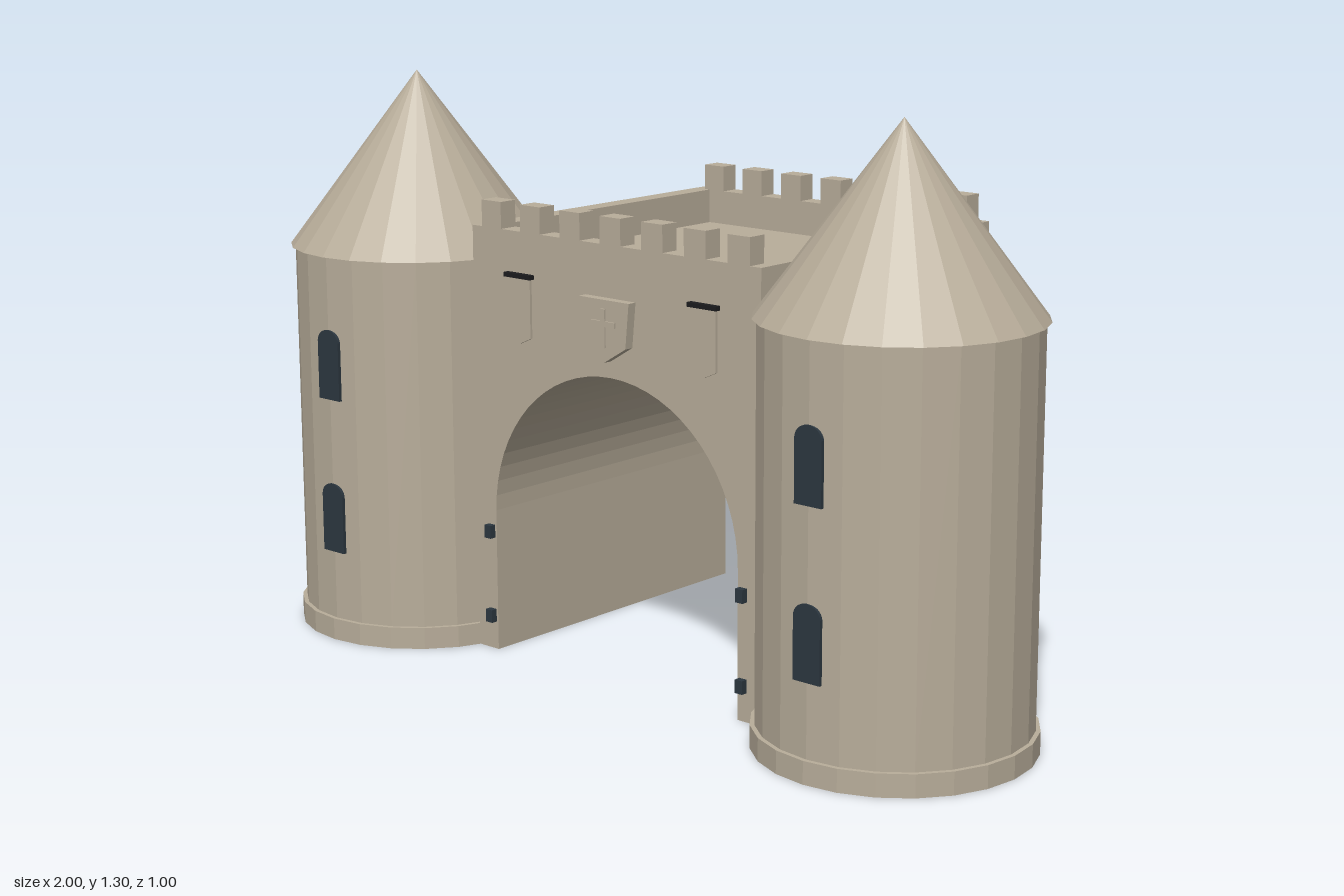
import * as THREE from 'three';

const material = (name, color) => {
  const m = new THREE.MeshStandardMaterial({ color, flatShading: true });
  m.name = name;
  return m;
};

export function createModel() {
  const stone = material('stone', 0xb8ad9a);
  const glass = material('darkWindow', 0x2c3740);
  const iron = material('iron', 0x1c1c1e);
  const root = new THREE.Group();
  root.name = 'castleGate';

  const add = (parent, name, geometry, mat, x = 0, y = 0, z = 0) => {
    const mesh = new THREE.Mesh(geometry, mat);
    mesh.name = name;
    mesh.position.set(x, y, z);
    parent.add(mesh);
    return mesh;
  };
  const box = (w, h, d) => new THREE.BoxGeometry(w, h, d);
  const plate = (shape, depth, curveSegments = 8) =>
    new THREE.ExtrudeGeometry(shape, { depth, bevelEnabled: false, curveSegments });

  // Gatehouse block with an arched passage
  const wall = new THREE.Shape();
  wall.moveTo(-0.42, 0);
  wall.lineTo(-0.36, 0);
  wall.lineTo(-0.36, 0.33);
  wall.absarc(0, 0.33, 0.36, Math.PI, 0, true);
  wall.lineTo(0.36, 0);
  wall.lineTo(0.42, 0);
  wall.lineTo(0.42, 0.9);
  wall.lineTo(-0.42, 0.9);
  wall.closePath();
  add(root, 'gatehouse', plate(wall, 0.8, 16), stone, 0, 0, -0.5);

  // Parapet around the roof, with merlons at front and back
  for (const z of [-0.4775, 0.2775]) {
    add(root, 'parapetEnd', box(0.84, 0.08, 0.045), stone, 0, 0.94, z);
    for (let i = -3; i <= 3; i++) {
      add(root, 'merlon', box(0.06, 0.06, 0.045), stone, i * 0.12, 1.01, z);
    }
  }
  for (const s of [-1, 1]) {
    add(root, 'parapetSide', box(0.045, 0.08, 0.71), stone, s * 0.3975, 0.94, -0.1);
  }

  // Round-topped tower window
  const arch = new THREE.Shape();
  arch.moveTo(-0.034, 0);
  arch.lineTo(0.034, 0);
  arch.lineTo(0.034, 0.135);
  arch.quadraticCurveTo(0.03, 0.16, 0, 0.162);
  arch.quadraticCurveTo(-0.03, 0.16, -0.034, 0.135);
  arch.closePath();

  // Hanging banner with a rounded point
  const cloth = new THREE.Shape();
  cloth.moveTo(-0.033, 0.88);
  cloth.lineTo(-0.033, 0.745);
  cloth.lineTo(0, 0.73);
  cloth.lineTo(0.033, 0.745);
  cloth.lineTo(0.033, 0.88);
  cloth.closePath();

  for (const s of [-1, 1]) {
    // Towers
    const tower = new THREE.Group();
    tower.name = s > 0 ? 'leftTower' : 'rightTower';
    tower.position.set(s * 0.7, 0, 0.2);
    root.add(tower);
    add(tower, 'towerBase', new THREE.CylinderGeometry(0.3, 0.3, 0.05, 24), stone, 0, 0.025);
    add(tower, 'towerWall', new THREE.CylinderGeometry(0.29, 0.29, 0.85, 24), stone, 0, 0.475);
    add(tower, 'towerRoof', new THREE.ConeGeometry(0.3, 0.4, 24), stone, 0, 1.1);
    for (const y of [0.21, 0.57]) {
      add(tower, 'towerWindow', plate(arch, 0.009), glass, 0, y, 0.284);
    }

    // Banners on rods, and gate hinges
    add(root, 'banner', plate(cloth, 0.006), stone, s * 0.27, 0, 0.3);
    add(root, 'bannerRod', box(0.08, 0.01, 0.014), iron, s * 0.27, 0.883, 0.307);
    for (const y of [0.08, 0.28]) {
      add(root, 'hinge', box(0.02, 0.03, 0.015), glass, s * 0.375, y, 0.3075);
    }
  }

  // Shield with a raised cross
  const shield = new THREE.Shape();
  shield.moveTo(-0.073, 0.865);
  shield.lineTo(-0.063, 0.765);
  shield.lineTo(0, 0.727);
  shield.lineTo(0.063, 0.765);
  shield.lineTo(0.073, 0.865);
  shield.closePath();
  add(root, 'shield', plate(shield, 0.022), stone, 0, 0, 0.3);
  add(root, 'crossUpright', box(0.012, 0.085, 0.006), stone, 0, 0.803, 0.323);
  add(root, 'crossBar', box(0.07, 0.012, 0.006), stone, 0, 0.813, 0.323);

  return root;
}
